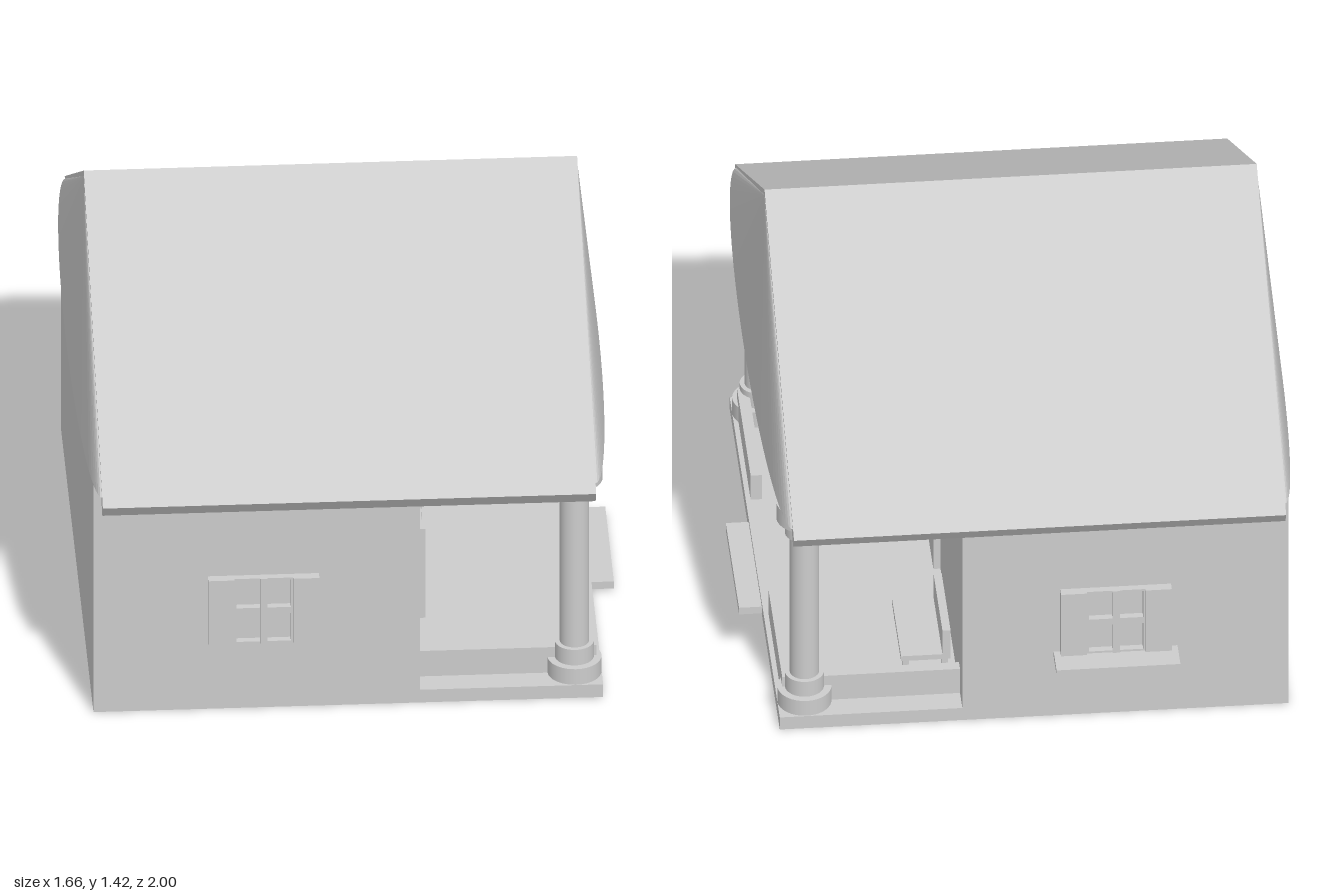
import * as THREE from 'three';

export function createModel() {
  const root = new THREE.Group();
  const grey = new THREE.MeshStandardMaterial({ color: 0xcccccc });
  grey.name = 'light grey';

  const add = (name, geometry, parent = root) => {
    const mesh = new THREE.Mesh(geometry, grey);
    mesh.name = name;
    parent.add(mesh);
    return mesh;
  };
  // Box given by its limits on each axis
  const box = (name, x0, x1, y0, y1, z0, z1, parent = root) => {
    const mesh = add(name, new THREE.BoxGeometry(x1 - x0, y1 - y0, z1 - z0), parent);
    mesh.position.set((x0 + x1) / 2, (y0 + y1) / 2, (z0 + z1) / 2);
    return mesh;
  };

  // House body, porch floor, step and porch ceiling
  box('houseBody', -0.8, 0.2, 0, 0.825, -0.85, 0.85);
  box('porchFloor', 0.2, 0.76, 0, 0.045, -0.85, 0.85);
  box('step', 0.72, 0.83, 0.005, 0.03, -0.24, 0.21);
  box('porchCeiling', 0.2, 0.74, 0.79, 0.825, -0.85, 0.85);

  // Roof: a bent slab along x
  const roofShape = new THREE.Shape([
    [0, 1.42], [-1, 0.81], [-0.97, 0.767], [0, 1.37], [0.97, 0.767], [1, 0.81],
  ].map(([x, y]) => new THREE.Vector2(x, y)));
  const roof = new THREE.ExtrudeGeometry(roofShape, { depth: 1.51, bevelEnabled: false });
  roof.rotateY(Math.PI / 2).translate(-0.78, 0, 0);
  add('roof', roof);

  // Bulging gables: half cones under each end of the ridge, with a flat underside
  const points = [];
  const n = 32, baseY = 0.825, apexY = 1.4;
  const rim = (side, i) => {
    const t = -Math.PI / 2 + (Math.PI * i) / n;
    const x = side > 0 ? 0.73 + 0.062 * Math.cos(t) : -0.78 - 0.055 * Math.cos(t);
    return [x, baseY, 0.96 * Math.sin(t) * side];
  };
  for (const side of [1, -1]) {
    const apex = [side > 0 ? 0.73 : -0.78, apexY, 0];
    for (let i = 0; i < n; i++) {
      const a = rim(side, i), b = rim(side, i + 1);
      points.push(...a, ...apex, ...b);
      points.push(...a, ...b, 0, baseY, 0);
    }
    points.push(...rim(side, n), ...rim(-side, 0), 0, baseY, 0);
  }
  const gables = new THREE.BufferGeometry();
  gables.setAttribute('position', new THREE.Float32BufferAttribute(points, 3));
  gables.computeVertexNormals();
  add('gables', gables);

  // Porch columns as stacked drums: radius, bottom, top
  const drums = [
    ['columnPlinth', 0.083, 0.045, 0.1], ['columnBase', 0.06, 0.1, 0.155],
    ['columnShaft', 0.045, 0.155, 0.675], ['columnNeck', 0.06, 0.675, 0.73],
    ['columnCapital', 0.086, 0.73, 0.79],
  ];
  for (const side of [1, -1]) {
    const column = new THREE.Group();
    column.name = side > 0 ? 'frontColumn' : 'backColumn';
    column.position.set(0.677, 0, 0.765 * side);
    for (const [name, r, y0, y1] of drums) {
      add(name, new THREE.CylinderGeometry(r, r, y1 - y0, 32), column).position.y = (y0 + y1) / 2;
    }
    root.add(column);
    // Low porch walls
    const sideWall = box('sideParapet', 0.2, 0.72, 0.045, 0.135, -0.018, 0.018);
    sideWall.position.z = 0.752 * side;
    const endWall = box('endParapet', 0.71, 0.745, 0.045, 0.135, -0.23, 0.23);
    endWall.position.z = 0.535 * side;
  }

  // Window facing +z: outer frame, crossing bars and optional shutters
  const makeWindow = (name, w, h, shutter) => {
    const g = new THREE.Group();
    g.name = name;
    const x = w / 2, y = h / 2, d = 0.022, e = 0.007;
    box('verticalBar', -0.011, 0.011, -y, y, 0, d + 0.004, g);
    box('crossBar', -x, x, -0.011, 0.011, 0, d, g);
    for (const s of [1, -1]) {
      box('rail', -x, x, -e / 2, e / 2, 0, d, g).position.y = s * (y - e / 2);
      box('stile', -e / 2, e / 2, -y, y, 0, d, g).position.x = s * (x - e / 2);
      if (shutter) {
        box('shutter', -shutter / 2, shutter / 2, -y, y, 0, 0.03, g).position.x = s * (x + shutter / 2);
      }
    }
    root.add(g);
    return g;
  };
  makeWindow('frontWindow', 0.18, 0.23, 0.08).position.set(-0.28, 0.355, 0.85);
  const backWindow = makeWindow('backWindow', 0.18, 0.23, 0.08);
  backWindow.position.set(-0.27, 0.355, -0.85);
  backWindow.rotation.y = Math.PI;
  box('windowSill', -0.46, -0.08, 0.22, 0.238, -0.95, -0.85);
  const porchWindow = makeWindow('porchWindow', 0.11, 0.315, 0.057);
  porchWindow.position.set(0.2, 0.312, 0.492);
  porchWindow.rotation.y = Math.PI / 2;

  // Door with canopy, knob and round window above
  box('door', 0.2, 0.222, 0.045, 0.368, -0.11, 0.12);
  box('doorCanopy', 0.2, 0.322, 0.366, 0.398, -0.115, 0.125);
  const knob = add('doorKnob', new THREE.SphereGeometry(0.018, 20, 14));
  knob.position.set(0.236, 0.21, -0.06);
  const roundWindow = add('roundWindow', new THREE.CylinderGeometry(0.087, 0.087, 0.02, 40));
  roundWindow.rotation.z = Math.PI / 2;
  roundWindow.position.set(0.208, 0.465, 0.005);

  // Bench against the wall
  const bench = new THREE.Group();
  bench.name = 'bench';
  box('benchBack', 0.218, 0.243, 0.09, 0.196, -0.65, -0.345, bench);
  box('benchSeat', 0.218, 0.37, 0.09, 0.108, -0.65, -0.345, bench);
  for (const x of [0.225, 0.345]) {
    for (const z of [-0.64, -0.375]) box('benchLeg', x, x + 0.02, 0.045, 0.09, z, z + 0.02, bench);
  }
  root.add(bench);

  return root;
}
